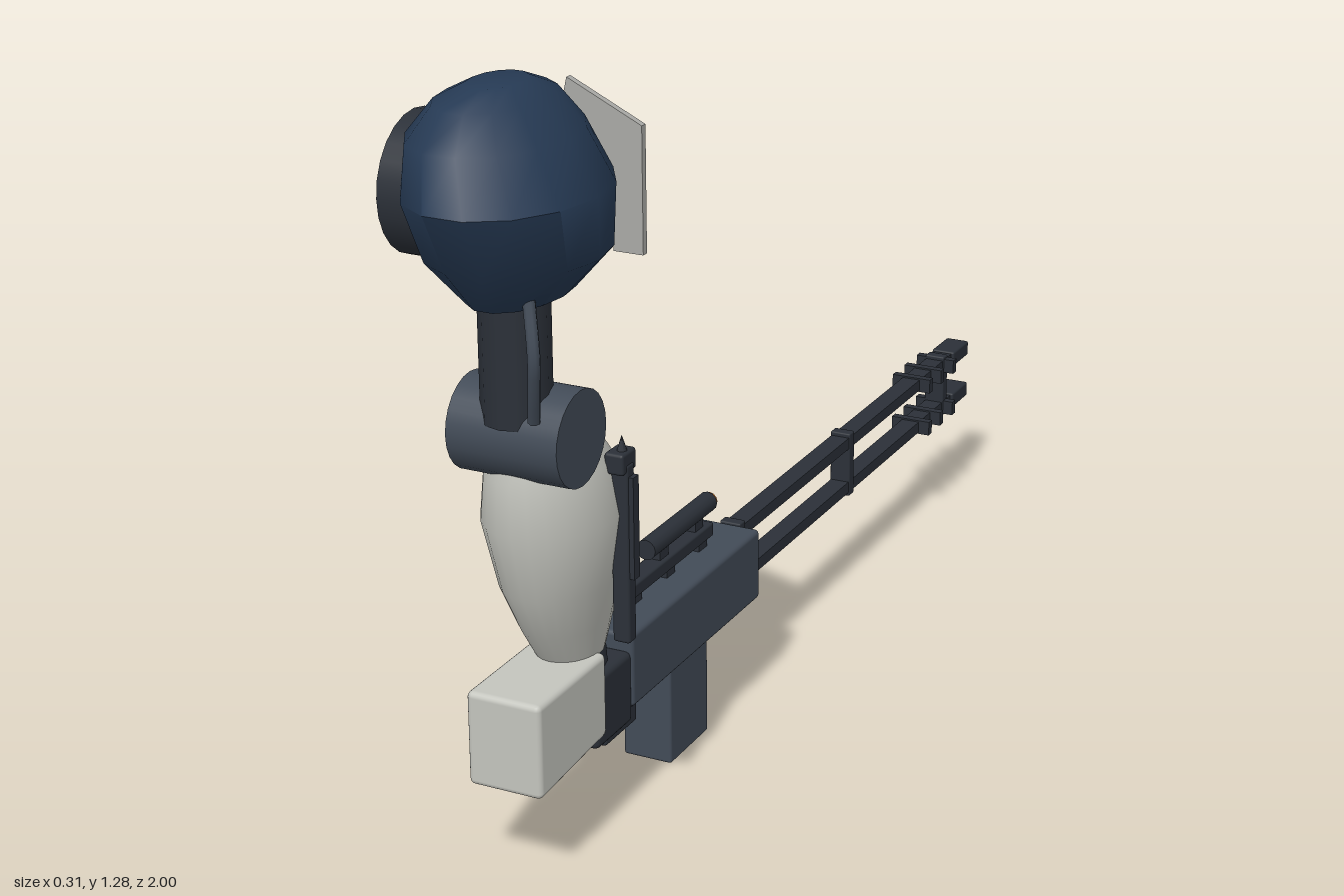
import * as THREE from 'three';
import { toCreasedNormals } from 'three/addons/utils/BufferGeometryUtils.js';
import { RoundedBoxGeometry } from 'three/addons/geometries/RoundedBoxGeometry.js';

const material = (color) => new THREE.MeshStandardMaterial({ color });

// Closed loft; each ring is [y, xMin, xMax, zMin, zMax]
function loft(rings, sides) {
  const pos = [], index = [];
  const push = (y, x0, x1, z0, z1, a, k) => pos.push(
    (x0 + x1) / 2 + k * (x1 - x0) / 2 * Math.cos(a), y, (z0 + z1) / 2 + k * (z1 - z0) / 2 * Math.sin(a));
  rings.forEach((r) => {
    for (let j = 0; j < sides; j++) push(...r, (j / sides) * Math.PI * 2, 1);
  });
  for (let i = 0; i < rings.length - 1; i++) {
    for (let j = 0; j < sides; j++) {
      const a = i * sides + j, b = i * sides + (j + 1) % sides;
      index.push(a, a + sides, b, b, a + sides, b + sides);
    }
  }
  const bottom = pos.length / 3, last = (rings.length - 1) * sides;
  push(...rings[0], 0, 0);
  push(...rings[rings.length - 1], 0, 0);
  for (let j = 0; j < sides; j++) {
    const n = (j + 1) % sides;
    index.push(bottom, j, n, bottom + 1, last + n, last + j);
  }
  const g = new THREE.BufferGeometry();
  g.setAttribute('position', new THREE.Float32BufferAttribute(pos, 3));
  g.setIndex(index);
  return toCreasedNormals(g, 0.75);
}

export function createModel() {
  const model = new THREE.Group();
  const navy = material(0x263a54), dark = material(0x2b3038), steel = material(0x424b57);
  const white = material(0xc4c5be), plateGrey = material(0xaaaaa6), orange = material(0xb06a2c);

  const add = (name, geometry, mat, x = 0, y = 0, z = 0) => {
    const mesh = new THREE.Mesh(geometry, mat);
    mesh.name = name;
    mesh.position.set(x, y, z);
    model.add(mesh);
    return mesh;
  };
  // Box given by its limits, with an optional rounded edge
  const box = (name, mat, x0, x1, y0, y1, z0, z1, r = 0) => add(name,
    r ? new RoundedBoxGeometry(x1 - x0, y1 - y0, z1 - z0, 2, r) : new THREE.BoxGeometry(x1 - x0, y1 - y0, z1 - z0),
    mat, (x0 + x1) / 2, (y0 + y1) / 2, (z0 + z1) / 2);
  // Cylinder along x
  const drum = (name, mat, radius, x0, x1, y, z, sides = 24) => add(name,
    new THREE.CylinderGeometry(radius, radius, x1 - x0, sides).rotateZ(Math.PI / 2), mat, (x0 + x1) / 2, y, z);

  // Shoulder shell and its side joint
  add('shoulderShell', loft([
    [0.955, -0.07, 0.07, 0.65, 0.88],
    [1.03, -0.125, 0.145, 0.63, 0.95],
    [1.13, -0.137, 0.155, 0.62, 1.0],
    [1.21, -0.133, 0.11, 0.645, 0.97],
    [1.262, -0.09, 0.07, 0.69, 0.93],
    [1.285, -0.045, 0.035, 0.75, 0.87],
  ], 14), navy);
  drum('shoulderJoint', dark, 0.11, -0.16, -0.07, 1.11, 0.79);

  // Notched plate behind the shoulder
  const plate = new THREE.Shape([
    [0.135, 0.99], [0.135, 1.19], [0.01, 1.25], [-0.04, 1.035],
    [0.02, 1.01], [0.025, 1.12], [0.08, 1.1], [0.085, 0.99],
  ].map(([x, y]) => new THREE.Vector2(x, y)));
  add('shoulderPlate', new THREE.ExtrudeGeometry(plate, { depth: 0.012, bevelEnabled: false }), plateGrey, 0, 0, 0.625);

  // Upper arm, hose and elbow
  add('upperArm', new THREE.CylinderGeometry(0.055, 0.055, 0.24, 12), dark, 0, 0.88, 0.79);
  const hosePath = new THREE.CatmullRomCurve3([
    new THREE.Vector3(0.06, 0.98, 0.85), new THREE.Vector3(0.075, 0.89, 0.865),
    new THREE.Vector3(0.068, 0.84, 0.855), new THREE.Vector3(0.055, 0.78, 0.835)]);
  add('hose', new THREE.TubeGeometry(hosePath, 12, 0.01, 8), steel);
  drum('elbow', steel, 0.077, -0.095, 0.095, 0.735, 0.765);

  // Forearm shell
  add('forearm', loft([
    [0.32, -0.052, 0.052, 0.58, 0.71],
    [0.38, -0.067, 0.067, 0.56, 0.75],
    [0.46, -0.088, 0.088, 0.55, 0.79],
    [0.575, -0.107, 0.107, 0.55, 0.82],
    [0.66, -0.092, 0.092, 0.582, 0.82],
    [0.7, -0.075, 0.075, 0.61, 0.81],
  ], 24), white);
  box('forearmSensor', orange, -0.035, 0.035, 0.38, 0.415, 0.54, 0.58, 0.005);
  for (const y of [0.47, 0.53]) {
    add('forearmRivet', new THREE.SphereGeometry(0.007, 10, 8), dark, 0, y, 0.55);
  }

  // Rod with socket carried on the forearm's side
  box('sideRod', dark, 0.09, 0.12, 0.36, 0.66, 0.645, 0.67, 0.005);
  box('sideRodHead', dark, 0.085, 0.118, 0.645, 0.68, 0.635, 0.68, 0.005);
  add('sideRodTip', new THREE.ConeGeometry(0.01, 0.03, 8), dark, 0.105, 0.69, 0.658);
  box('sideRail', dark, 0.11, 0.128, 0.47, 0.64, 0.648, 0.666);

  // Wrist, hand and knuckle guard
  add('wrist', new THREE.CylinderGeometry(0.042, 0.048, 0.09, 12), dark, 0, 0.305, 0.62);
  box('hand', dark, -0.06, 0.06, 0.16, 0.285, 0.55, 0.67, 0.01);
  const guard = box('handGuard', white, -0.065, 0.065, 0.165, 0.325, 0.645, 0.86, 0.01);
  const p = guard.geometry.attributes.position;
  for (let i = 0; i < p.count; i++) {
    if (p.getY(i) < 0) p.setY(i, p.getY(i) + 0.016 * (0.5 - p.getZ(i) / 0.215));
  }
  box('thumbKnob', dark, -0.112, -0.073, 0.18, 0.258, 0.52, 0.58, 0.012);
  drum('thumbAxle', dark, 0.012, -0.08, -0.04, 0.22, 0.55, 10);

  // Gun body
  box('gunBody', steel, -0.063, 0.063, 0.185, 0.315, 0.08, 0.555, 0.008);
  box('magazine', steel, -0.045, 0.045, 0, 0.19, 0.25, 0.39, 0.005);
  box('triggerBlock', dark, -0.014, 0.014, 0.105, 0.19, 0.45, 0.56, 0.006);
  box('triggerMount', dark, -0.03, 0.03, 0.155, 0.19, 0.49, 0.56);
  box('topRail', dark, -0.018, 0.018, 0.33, 0.355, 0.17, 0.47, 0.004);
  for (const z of [0.2, 0.32, 0.44]) box('railFoot', dark, -0.012, 0.012, 0.31, 0.335, z - 0.015, z + 0.015);
  for (const z of [0.21, 0.34]) box('sightFoot', dark, -0.01, 0.01, 0.35, 0.375, z - 0.015, z + 0.015);
  add('sightTube', new THREE.CylinderGeometry(0.018, 0.018, 0.23, 12).rotateX(Math.PI / 2), dark, 0, 0.385, 0.272);
  add('sightLens', new THREE.CylinderGeometry(0.015, 0.015, 0.008, 12).rotateX(Math.PI / 2), orange, 0, 0.385, 0.154);

  // Twin barrels with muzzles and cooling fins
  for (const y of [0.293, 0.203]) {
    box('barrel', dark, -0.018, 0.018, y - 0.011, y + 0.011, -0.95, 0.1);
    box('muzzle', dark, -0.024, 0.024, y - 0.015, y + 0.015, -1, -0.92, 0.004);
    for (const z of [-0.76, -0.82, -0.885]) {
      box('coolingFin', dark, -0.04, 0.04, y - 0.014, y + 0.014, z - 0.008, z + 0.008);
    }
  }
  for (const z of [0.06, -0.415, -0.885]) {
    box('barrelBrace', dark, -0.02, 0.02, 0.185, 0.312, z - 0.011, z + 0.011, 0.003);
  }
  return model;
}
